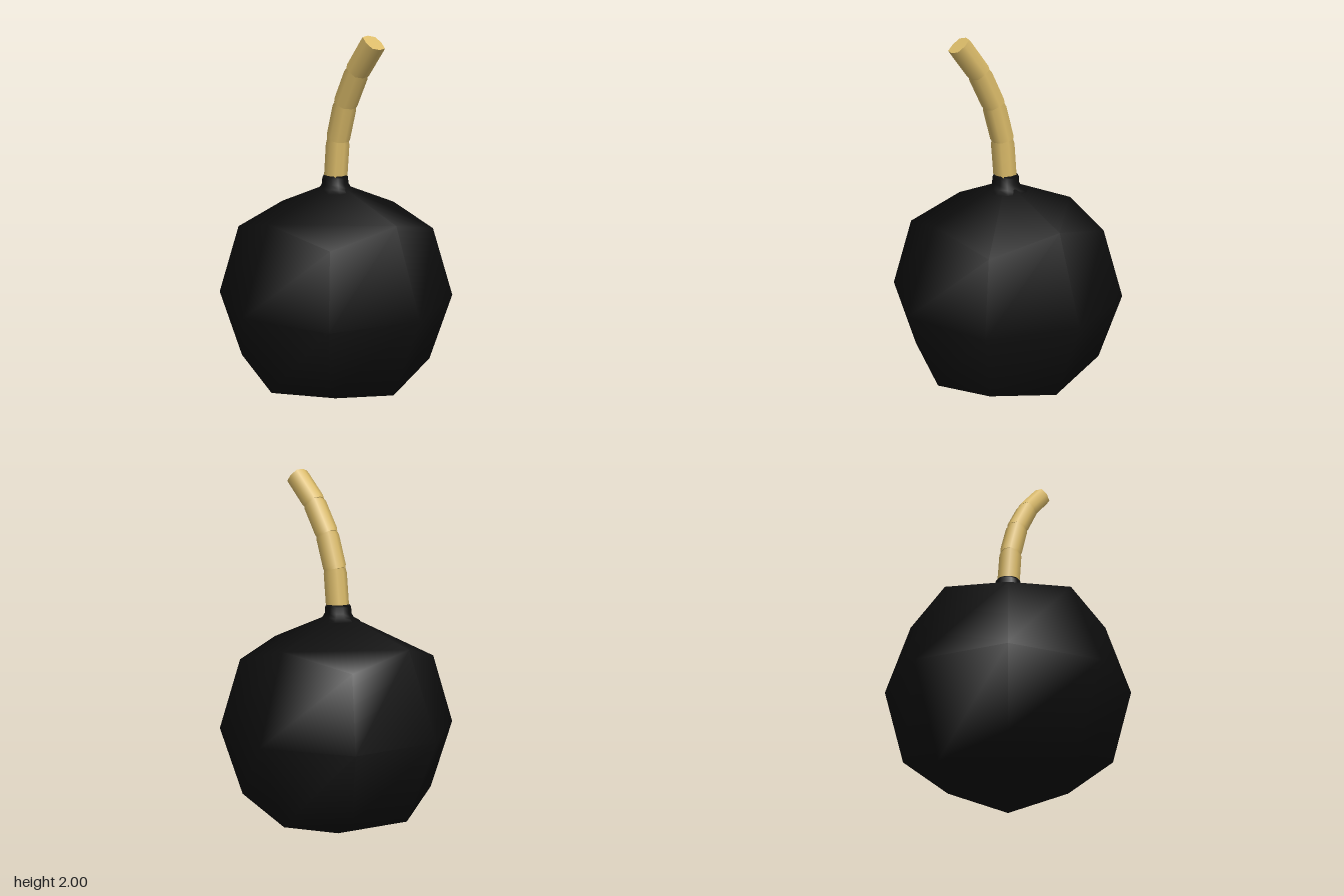
import * as THREE from 'three';
import { mergeVertices } from 'three/addons/utils/BufferGeometryUtils.js';

const black = new THREE.MeshStandardMaterial({ color: 0x0d0d0d });
const tan = new THREE.MeshStandardMaterial({ color: 0xdcbc6a });

// Cube with each side split in four, rounded by moving face centres, edge middles and corners
function ballGeometry() {
  const geo = new THREE.BoxGeometry(2, 2, 2, 2, 2, 2);
  geo.deleteAttribute('normal');
  geo.deleteAttribute('uv');
  const reach = [0, 0.623, 0.452, 0.371]; // by number of non-zero coordinates
  const p = geo.attributes.position;
  for (let i = 0; i < p.count; i++) {
    const v = new THREE.Vector3().fromBufferAttribute(p, i).round();
    v.multiplyScalar(reach[Math.abs(v.x) + Math.abs(v.y) + Math.abs(v.z)]);
    p.setXYZ(i, v.x, v.y, v.z);
  }
  const merged = mergeVertices(geo);
  merged.computeVertexNormals();
  return merged;
}

// Eight-sided piece with a squarish section, pinched at its joints
function fuseSegment(from, to, endRadius) {
  const length = from.distanceTo(to);
  const geo = new THREE.CylinderGeometry(1, 1, length, 8, 3);
  const p = geo.attributes.position;
  for (let i = 0; i < p.count; i++) {
    const x = p.getX(i), z = p.getZ(i);
    let y = p.getY(i) / length + 0.5;
    const r = y < 0.1 ? 0.05 : y > 0.9 ? endRadius : 0.055;
    if (y > 0.1 && y < 0.9) y = y < 0.5 ? 0.1 : 0.9;
    const square = Math.abs(x * z) > 0.1 ? 1.13 : 1;
    p.setXYZ(i, x * r * square, (y - 0.5) * length, z * r * square);
  }
  const mesh = new THREE.Mesh(geo, tan);
  mesh.position.copy(from).lerp(to, 0.5);
  mesh.rotation.z = -Math.atan2(to.x - from.x, to.y - from.y);
  return mesh;
}

export function createModel() {
  const group = new THREE.Group();

  const ball = new THREE.Mesh(ballGeometry(), black);
  ball.name = 'ball';
  ball.position.y = 0.624;
  group.add(ball);

  // Flared collar on top of the ball
  const profile = [[0.12, 1.195], [0.085, 1.213], [0.072, 1.235], [0.07, 1.268], [0.064, 1.28], [0, 1.28]];
  const collar = new THREE.Mesh(
    new THREE.LatheGeometry(profile.map(([r, y]) => new THREE.Vector2(r, y)), 12), black);
  collar.name = 'collar';
  group.add(collar);

  // Bent fuse made of four overlapping pieces
  const fuse = new THREE.Group();
  fuse.name = 'fuse';
  const joints = [[0.002, 1.25], [0.021, 1.47], [0.075, 1.655], [0.163, 1.822], [0.28, 1.964]]
    .map(([x, y]) => new THREE.Vector3(x, y, 0));
  for (let i = 0; i < 4; i++) {
    const start = joints[i].clone().lerp(joints[i + 1], -0.04);
    const segment = fuseSegment(start, joints[i + 1], i === 3 ? 0.054 : 0.05);
    segment.name = 'fuseSegment' + (i + 1);
    fuse.add(segment);
  }
  group.add(fuse);

  return group;
}
